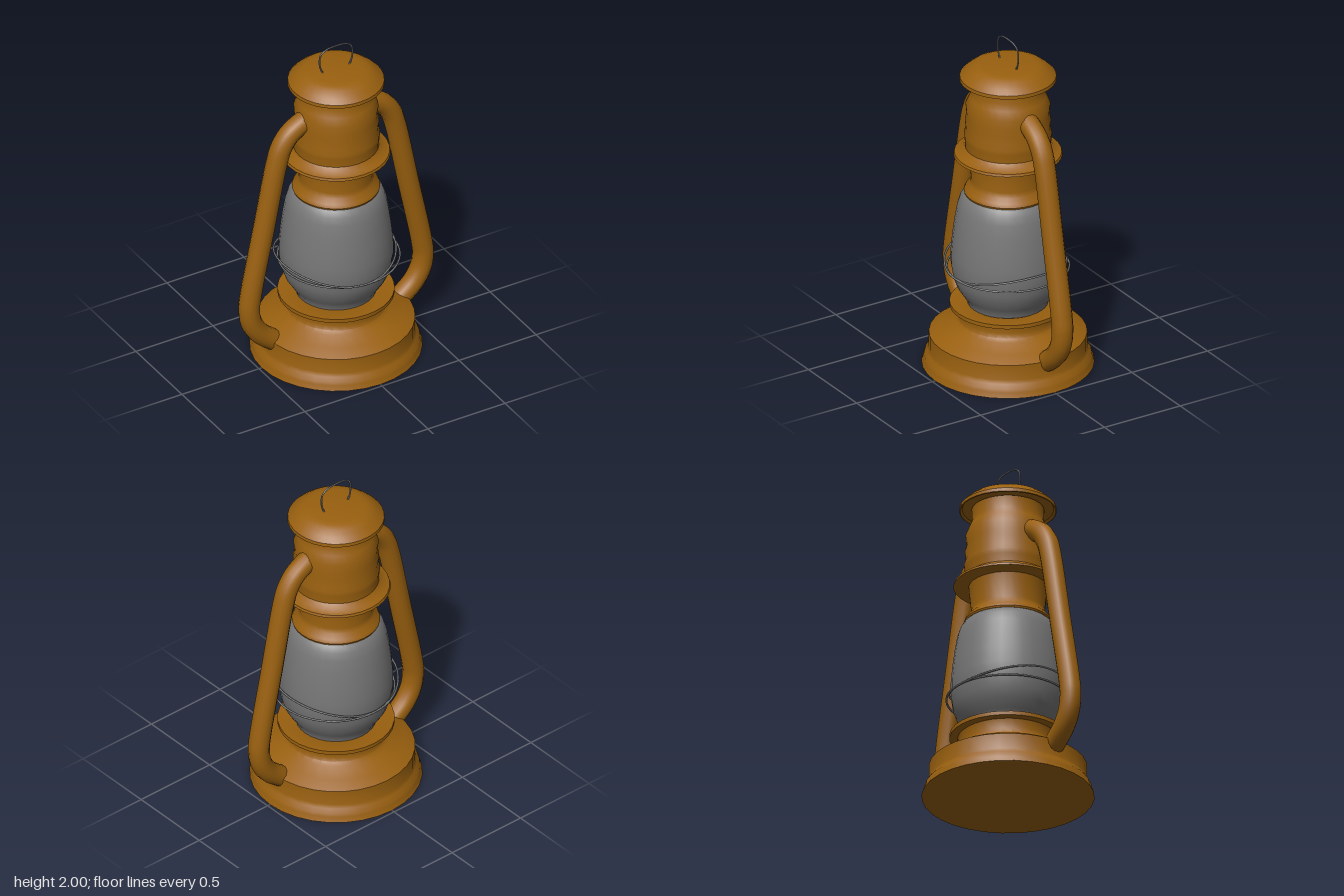
import * as THREE from 'three';
import { toCreasedNormals } from 'three/addons/utils/BufferGeometryUtils.js';

const paint = new THREE.MeshStandardMaterial({ color: 0x99600f });
paint.name = 'amber paint';
const grey = new THREE.MeshStandardMaterial({ color: 0x777777 });
grey.name = 'grey';

const SEGMENTS = 32;

function mesh(name, geometry, material) {
  const m = new THREE.Mesh(geometry, material);
  m.name = name;
  return m;
}

// Turned part from [radius, height] pairs, listed bottom to top
function turned(name, profile, material, crease = 0.6) {
  const points = profile.map(([r, y]) => new THREE.Vector2(r, y));
  return mesh(name, toCreasedNormals(new THREE.LatheGeometry(points, SEGMENTS), crease), material);
}

// Round bar along a smooth path
function bar(name, path, radius, material, steps, sides, closed = false) {
  const curve = new THREE.CatmullRomCurve3(path, closed, 'centripetal');
  return mesh(name, new THREE.TubeGeometry(curve, steps, radius, sides, closed), material);
}

const flat = ([x, y]) => new THREE.Vector3(x, y, 0);

// Wire loop around the globe; rise lifts it at both sides
function wireLoop(name, cx, rise) {
  const r = 0.342, path = [];
  for (let i = 0; i < 24; i++) {
    const a = (i / 24) * Math.PI * 2, c = Math.cos(a);
    path.push(new THREE.Vector3(cx + r * c, 0.6 + rise * c * c, 0.008 + r * Math.sin(a)));
  }
  return bar(name, path, 0.006, grey, 64, 6, true);
}

export function createModel() {
  const lantern = new THREE.Group();
  lantern.name = 'lantern';

  // Fuel tank with stepped foot and burner collar
  lantern.add(turned('base', [
    [0, 0], [0.483, 0], [0.472, 0.03], [0.468, 0.05], [0.45, 0.072], [0.442, 0.095],
    [0.442, 0.185], [0.38, 0.22], [0.3, 0.255], [0.28, 0.272], [0.272, 0.3], [0.282, 0.352],
    [0.327, 0.354], [0.327, 0.377], [0.24, 0.377], [0.22, 0.37], [0, 0.37],
  ], paint));

  // Glass globe
  lantern.add(turned('globe', [
    [0.225, 0.37], [0.232, 0.395], [0.255, 0.43], [0.287, 0.48], [0.308, 0.54], [0.32, 0.62],
    [0.32, 0.69], [0.311, 0.79], [0.298, 0.89], [0.284, 0.97], [0.27, 1.015], [0.252, 1.045],
    [0.235, 1.06],
  ], grey, 1.0));

  // Chimney with wide drip ring
  lantern.add(turned('chimney', [
    [0, 1.054], [0.243, 1.054], [0.247, 1.065], [0.238, 1.085], [0.213, 1.11], [0.206, 1.14],
    [0.22, 1.283], [0.29, 1.283], [0.305, 1.288], [0.3, 1.303], [0.262, 1.315], [0.24, 1.34],
    [0.242, 1.39], [0.246, 1.42], [0.236, 1.45], [0.241, 1.5], [0.232, 1.54], [0.237, 1.6],
    [0.215, 1.65], [0.2, 1.69], [0.203, 1.76],
  ], paint));

  // Domed cap with a hollow rim underneath
  lantern.add(turned('cap', [
    [0, 1.765], [0.255, 1.765], [0.266, 1.752], [0.272, 1.755], [0.27, 1.775], [0.245, 1.8],
    [0.21, 1.827], [0.18, 1.84], [0.15, 1.845], [0, 1.848],
  ], paint));

  // Side tubes, mirrored
  const tubePath = [
    [0.16, 1.58], [0.23, 1.553], [0.305, 1.505], [0.355, 1.435], [0.383, 1.35],
    [0.47, 0.925], [0.555, 0.505], [0.564, 0.42], [0.55, 0.33], [0.505, 0.25],
    [0.44, 0.19], [0.37, 0.14],
  ];
  for (const [side, name] of [[1, 'leftTube'], [-1, 'rightTube']]) {
    const path = tubePath.map(([x, y]) => flat([side * x, y]));
    lantern.add(bar(name, path, 0.061, paint, 60, 14));
  }

  // Globe guard wires
  lantern.add(wireLoop('levelGuardWire', 0.0125, 0));
  lantern.add(wireLoop('raisedGuardWire', -0.0125, 0.062));

  // Lifting loop on the cap
  const half = [[0.082, 1.835], [0.1, 1.875], [0.107, 1.92], [0.098, 1.965], [0.065, 1.988]];
  const loop = [...half.map(([x, y]) => flat([-x, y])), flat([0, 1.995]), ...half.map(flat).reverse()];
  lantern.add(bar('liftingLoop', loop, 0.005, grey, 48, 6));

  return lantern;
}
